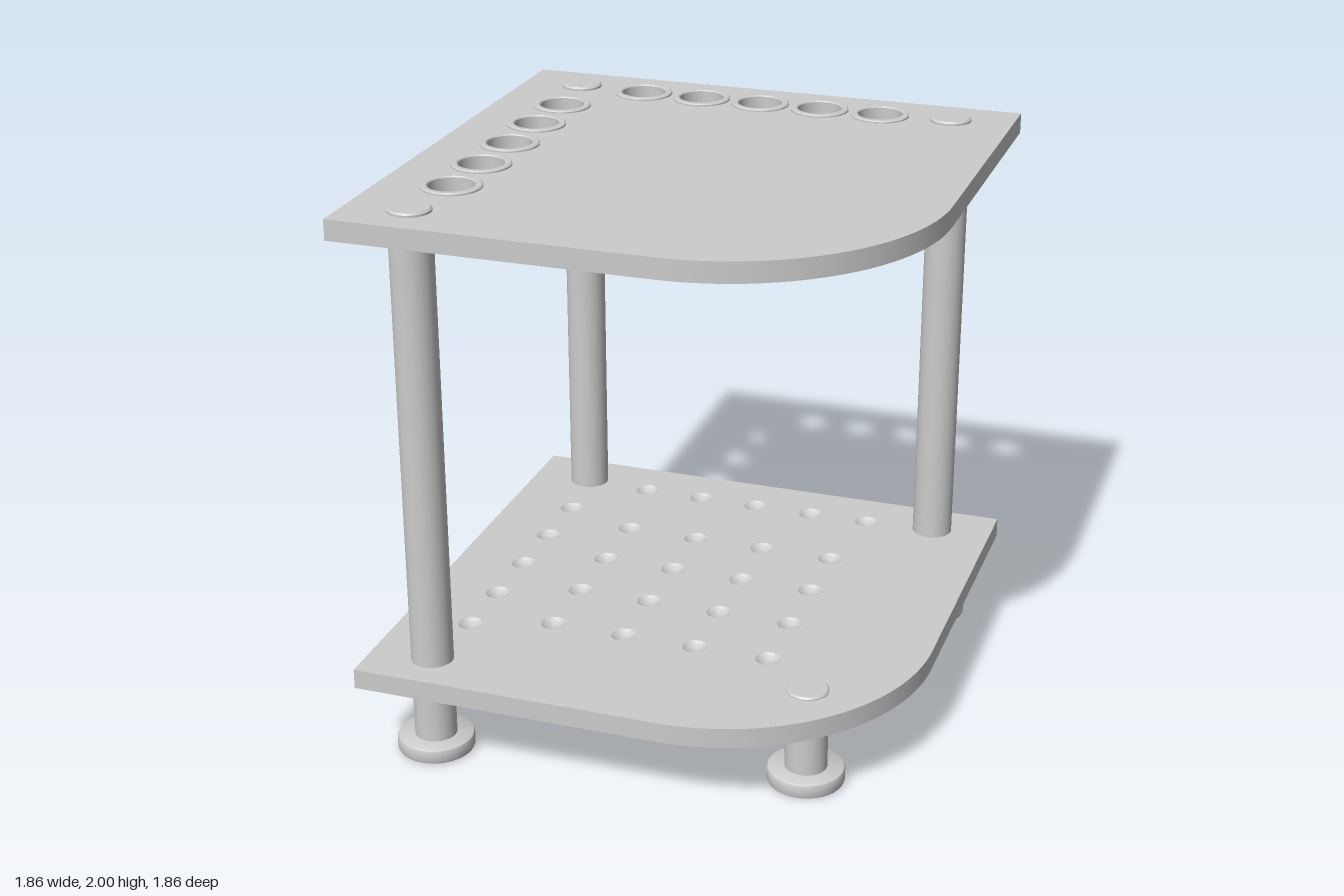
import * as THREE from 'three';
import { toCreasedNormals } from 'three/addons/utils/BufferGeometryUtils.js';

const HALF = 0.93, CORNER = 0.76;
const STEPS = [-2, -1, 0, 1, 2];
// Ball positions [x, z] along the back and the left edge
const RACK = [
  ...STEPS.map(i => [i * 0.226, -0.745]),
  ...STEPS.map(i => [-0.68, i * 0.248]),
];
// Ball positions in the middle of the lower shelf
const MIDDLE = [];
for (const x of [-0.4, -0.133, 0.133, 0.4])
  for (const z of [-0.4, -0.133, 0.133, 0.4]) MIDDLE.push([x, z]);

const material = new THREE.MeshStandardMaterial({ color: 0xcccccc });

function add(parent, name, geometry, x = 0, y = 0, z = 0) {
  const mesh = new THREE.Mesh(geometry, material);
  mesh.name = name;
  mesh.position.set(x, y, z);
  parent.add(mesh);
  return mesh;
}

function lathe(points, segments = 40) {
  const profile = points.map(([r, y]) => new THREE.Vector2(r, y));
  return toCreasedNormals(new THREE.LatheGeometry(profile, segments), 0.6);
}

// Square board with one big rounded corner at the front left
function boardShape(holes = [], radius = 0) {
  const s = new THREE.Shape();
  s.moveTo(-HALF, HALF);
  s.lineTo(-HALF, -HALF);
  s.lineTo(HALF - CORNER, -HALF);
  s.absarc(HALF - CORNER, CORNER - HALF, CORNER, -Math.PI / 2, 0, false);
  s.lineTo(HALF, HALF);
  s.closePath();
  for (const [x, z] of holes) {
    const h = new THREE.Path();
    h.absarc(x, -z, radius, 0, Math.PI * 2, true);
    s.holes.push(h);
  }
  return s;
}

function extrudeBoard(shape, depth) {
  const g = new THREE.ExtrudeGeometry(shape, { depth, bevelEnabled: false, curveSegments: 32 });
  return g.rotateX(-Math.PI / 2);
}

// Only the side walls of an extrusion, without its caps
function wallsOnly(geometry) {
  const { start, count } = geometry.groups[1];
  const p = geometry.attributes.position.array.slice(start * 3, (start + count) * 3);
  const g = new THREE.BufferGeometry();
  g.setAttribute('position', new THREE.BufferAttribute(p, 3));
  return toCreasedNormals(g, 0.6);
}

// Post or leg with softened ends
function postGeometry(bottom, top, r = 0.074) {
  const b = 0.006;
  return lathe([[0, bottom], [r, bottom], [r, top - b], [r - b, top], [0, top]]);
}

export function createModel() {
  const model = new THREE.Group();
  model.name = 'cueAndBallRack';

  // Upper shelf with holes lined by grommets
  const upper = new THREE.Group();
  upper.name = 'upperShelf';
  model.add(upper);
  const y0 = 1.915, thick = 0.072;
  add(upper, 'upperBoard', toCreasedNormals(extrudeBoard(boardShape(RACK, 0.09), thick), 0.6), 0, y0, 0);

  const lip = 0.009;
  const grommet = lathe([
    [0.09, 0], [0.105, 0], [0.105, -lip + 0.004], [0.1, -lip], [0.084, -lip], [0.08, -lip + 0.004],
    [0.08, thick + lip - 0.004], [0.084, thick + lip], [0.1, thick + lip],
    [0.105, thick + lip - 0.004], [0.105, thick], [0.09, thick],
  ].reverse());
  for (const [x, z] of RACK) add(upper, 'grommet', grommet, x, y0, z);

  // Lower shelf: walls, plain underside and dimpled top
  const lower = new THREE.Group();
  lower.name = 'lowerShelf';
  model.add(lower);
  const base = 0.28, topY = 0.352, dimpleR = 0.045;
  const dimples = [...RACK, ...MIDDLE];
  add(lower, 'lowerBoardEdge', wallsOnly(extrudeBoard(boardShape(), topY - base)), 0, base, 0);
  const underside = new THREE.ShapeGeometry(boardShape(), 32);
  underside.rotateX(-Math.PI / 2);
  const index = underside.index.array;
  for (let i = 0; i < index.length; i += 3) [index[i], index[i + 1]] = [index[i + 1], index[i]];
  underside.computeVertexNormals();
  add(lower, 'lowerBoardUnderside', underside, 0, base, 0);
  const surface = new THREE.ShapeGeometry(boardShape(dimples, dimpleR), 16).rotateX(-Math.PI / 2);
  add(lower, 'lowerBoardTop', surface, 0, topY, 0);

  // Shallow round seats for the balls
  const bowlPoints = [];
  for (let i = 0; i <= 6; i++) {
    const t = i / 6;
    bowlPoints.push([dimpleR * (1 - t), -0.02 * (1 - (1 - t) ** 2)]);
  }
  const bowl = lathe(bowlPoints, 32);
  for (const [x, z] of dimples) add(lower, 'ballSeat', bowl, x, topY, z);

  // Three full posts and one short leg, each on a round foot
  const foot = lathe([
    [0, 0], [0.127, 0], [0.133, 0.004], [0.136, 0.012], [0.136, 0.045],
    [0.133, 0.053], [0.127, 0.057], [0, 0.057],
  ]);
  const supports = [
    ['backRightPost', -0.707, -0.765, 2],
    ['backLeftPost', 0.707, -0.765, 2],
    ['frontRightPost', -0.707, 0.765, 2],
    ['frontLeftLeg', 0.59, 0.562, 0.362],
  ];
  for (const [name, x, z, top] of supports) {
    add(model, name, postGeometry(0.05, top), x, 0, z);
    add(model, 'foot', foot, x, 0, z);
  }
  return model;
}
